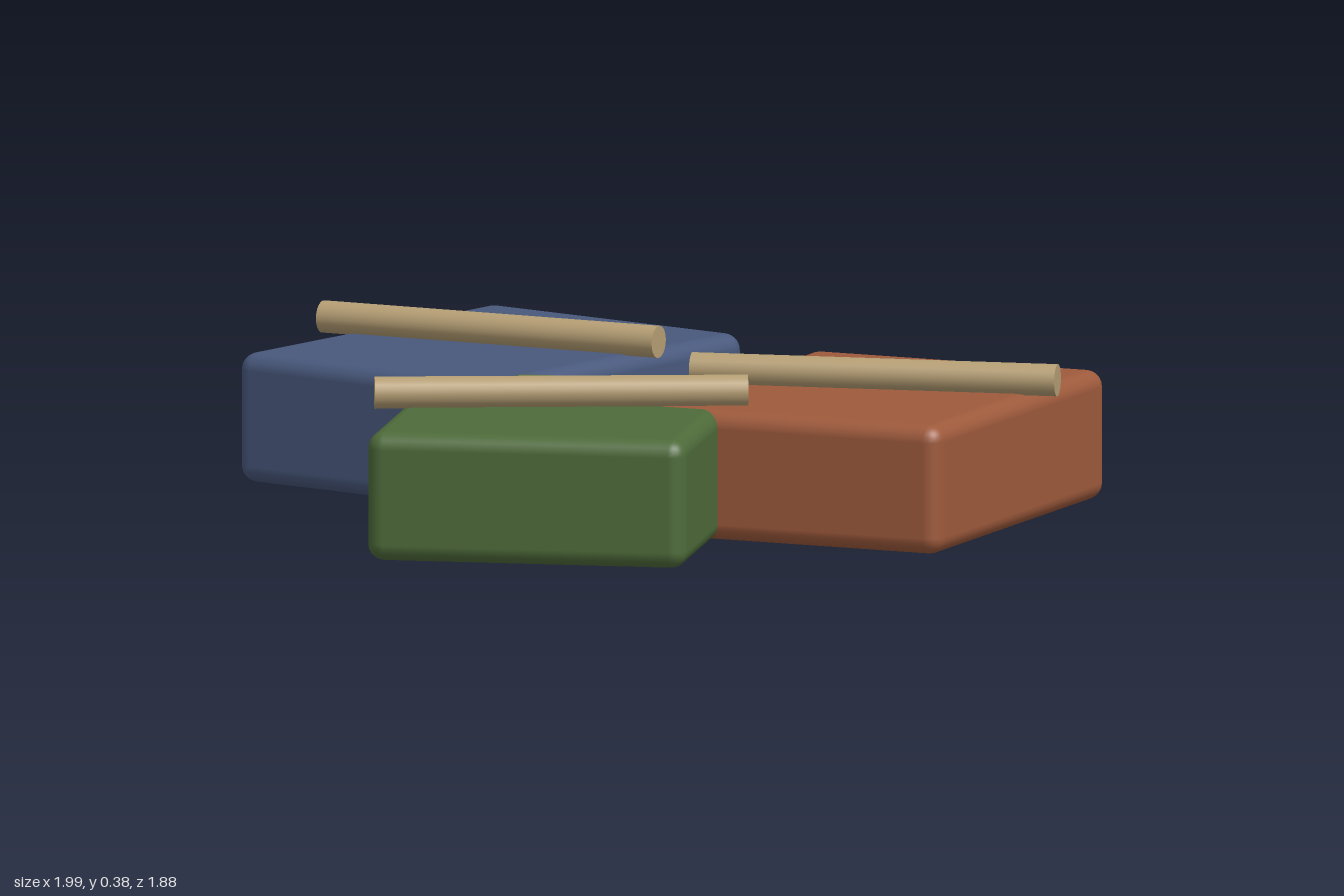
import * as THREE from 'three';
import { RoundedBoxGeometry } from 'three/addons/geometries/RoundedBoxGeometry.js';

const material = (name, color) => {
  const m = new THREE.MeshStandardMaterial({ color });
  m.name = name;
  return m;
};

export function createModel() {
  const model = new THREE.Group();
  model.name = 'bundles';
  const tan = material('tan strap', 0xb59e74);
  const deg = Math.PI / 180;

  // Each bundle: rounded block with a round bar lying across its top
  const bundles = [
    { name: 'blue', color: 0x48587c, x: -0.535, z: -0.395, turn: -12, height: 0.305 },
    { name: 'rust', color: 0x9e5a3c, x: 0.565, z: -0.18, turn: 2, height: 0.305 },
    { name: 'green', color: 0x4e6b3a, x: 0.023, z: 0.375, turn: 16, height: 0.304 },
  ];

  for (const b of bundles) {
    const bundle = new THREE.Group();
    bundle.name = b.name + 'Bundle';
    bundle.position.set(b.x, 0, b.z);
    bundle.rotation.y = b.turn * deg;

    const block = new THREE.Mesh(
      new RoundedBoxGeometry(0.755, b.height, 0.97, 3, 0.04),
      material(b.name + ' cloth', b.color)
    );
    block.name = b.name + 'Block';
    block.position.y = b.height / 2;

    // Bar runs along x, turned a little further than its block
    const barGeometry = new THREE.CylinderGeometry(0.038, 0.038, 0.87, 20);
    barGeometry.rotateZ(Math.PI / 2);
    const bar = new THREE.Mesh(barGeometry, tan);
    bar.name = b.name + 'Bar';
    bar.position.y = 0.337;
    bar.rotation.y = 12 * deg;

    bundle.add(block, bar);
    model.add(bundle);
  }
  return model;
}
